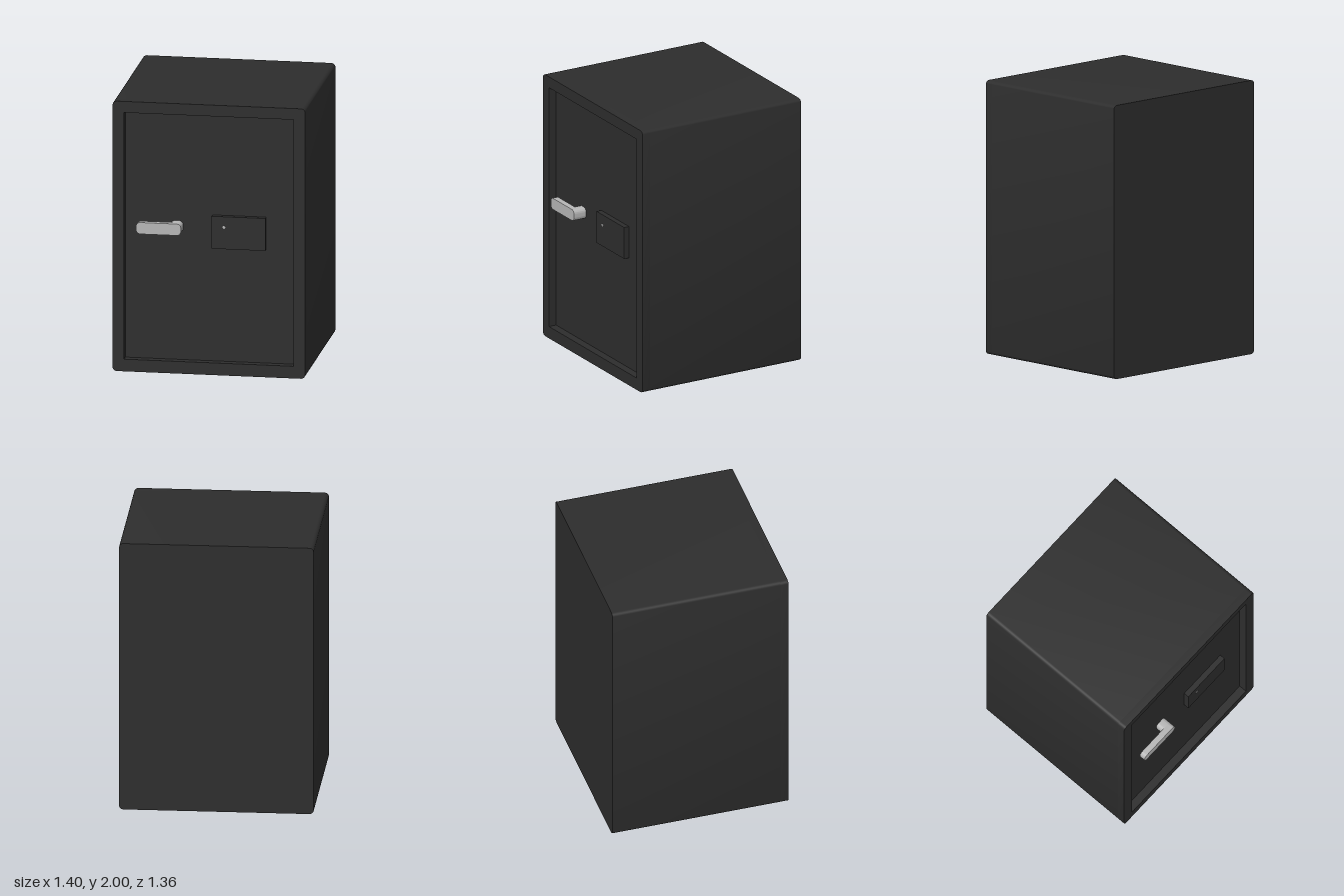
import * as THREE from 'three';
import { toCreasedNormals } from 'three/addons/utils/BufferGeometryUtils.js';

// Rectangle with rounded corners, drawn counter-clockwise
function roundedRect(x0, y0, x1, y1, r) {
  const s = new THREE.Shape();
  s.absarc(x1 - r, y0 + r, r, -Math.PI / 2, 0);
  s.absarc(x1 - r, y1 - r, r, 0, Math.PI / 2);
  s.absarc(x0 + r, y1 - r, r, Math.PI / 2, Math.PI);
  s.absarc(x0 + r, y0 + r, r, Math.PI, Math.PI * 1.5);
  s.closePath();
  return s;
}

// Extrude a shape between two depths, smoothing only the rounded corners
function slab(shape, z0, z1, segments) {
  const g = new THREE.ExtrudeGeometry(shape, { depth: z1 - z0, bevelEnabled: false, curveSegments: segments });
  g.translate(0, 0, z0);
  return toCreasedNormals(g, 0.7);
}

export function createModel() {
  const group = new THREE.Group();
  const steel = new THREE.MeshStandardMaterial({ name: 'dark steel', color: 0x2d2d2d });
  const metal = new THREE.MeshStandardMaterial({ name: 'light metal', color: 0xb6b6b6 });

  const add = (name, geometry, material, parent = group) => {
    const mesh = new THREE.Mesh(geometry, material);
    mesh.name = name;
    parent.add(mesh);
    return mesh;
  };

  const doorZ = 0.58, frontZ = 0.64;

  // Cabinet body, whose front face is the recessed door
  add('cabinetAndDoor', slab(roundedRect(-0.7, 0, 0.7, 2, 0.03), -0.68, doorZ, 3), steel);

  // Raised frame around the door
  const frame = roundedRect(-0.7, 0, 0.7, 2, 0.03);
  frame.holes.push(new THREE.Path([
    [-0.617, 0.09], [-0.617, 1.917], [0.617, 1.917], [0.617, 0.09],
  ].map(([x, y]) => new THREE.Vector2(x, y))));
  add('doorFrame', slab(frame, doorZ, frontZ, 3), steel);

  // Handle: a grip bar on a short stem at its inner end
  const handle = new THREE.Group();
  handle.name = 'handle';
  group.add(handle);
  add('handleGrip', slab(roundedRect(-0.523, 1.033, -0.197, 1.118, 0.03), 0.635, 0.68, 6), metal, handle);
  add('handleStem', slab(roundedRect(-0.285, 1.033, -0.197, 1.118, 0.03), doorZ, 0.635, 6), metal, handle);

  // Lock panel with a small indicator light
  const panel = new THREE.BoxGeometry(0.39, 0.24, 0.04);
  panel.translate(0.212, 1.051, doorZ + 0.02);
  add('lockPanel', panel, steel);
  const light = new THREE.CylinderGeometry(0.011, 0.011, 0.004, 8);
  light.rotateX(Math.PI / 2).translate(0.107, 1.093, doorZ + 0.042);
  add('indicatorLight', light, metal);

  return group;
}
